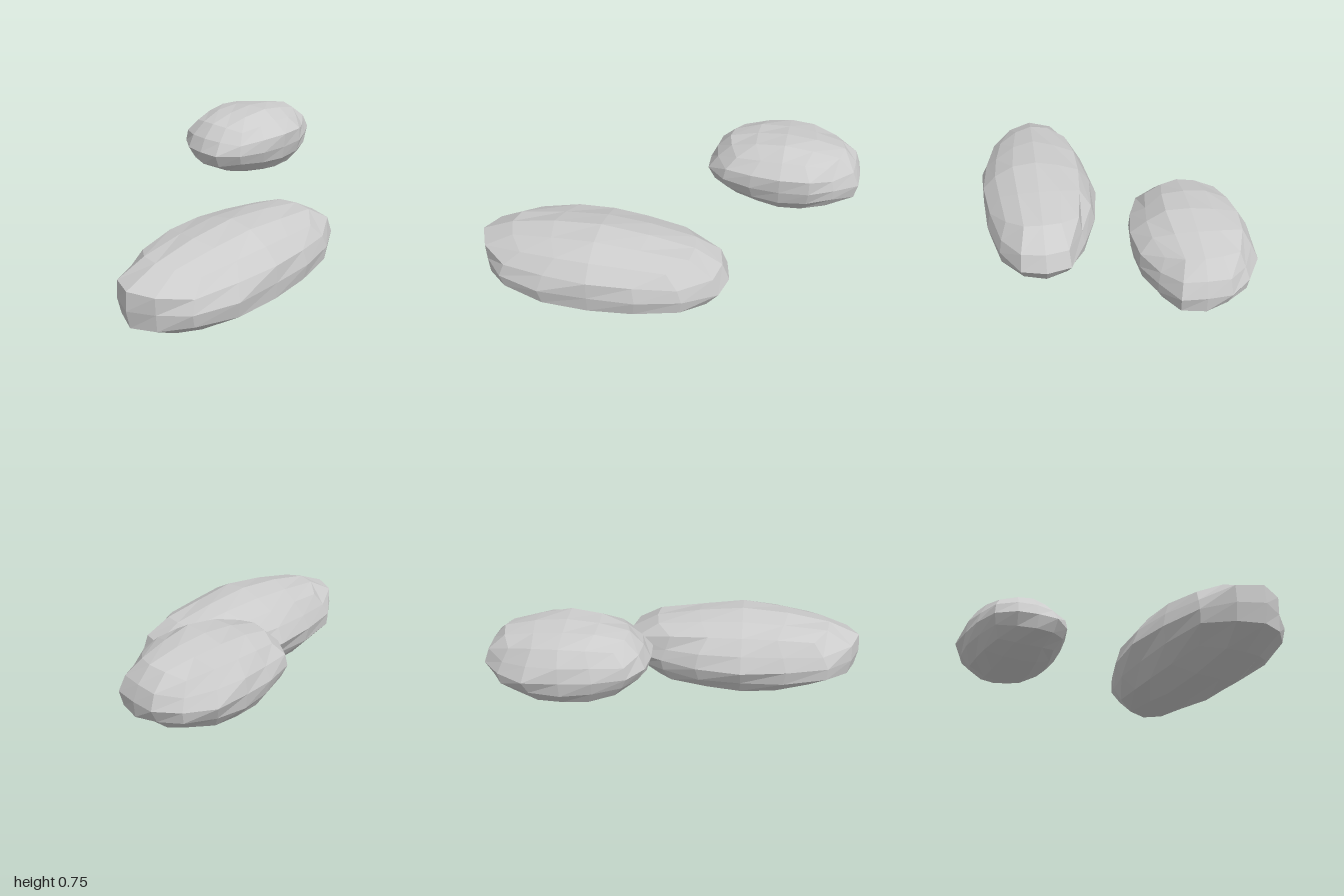
import * as THREE from 'three';

const material = new THREE.MeshStandardMaterial({ color: 0xcccccc, flatShading: true });

// Percent radius every 22.5 degrees round three cross-sections:
// xy (from +x to +y), xz (from +x to +z) and zy (from +z to +y)
const LARGE = {
  xy: [100, 102, 103, 97, 100, 99, 103, 107, 100, 105, 103, 103, 97, 89, 105, 98],
  xz: [100, 103, 99, 95, 92, 101, 103, 97, 100, 100, 102, 98, 101, 98, 95, 103],
  zy: [92, 98, 98, 101, 100, 96, 101, 97, 101, 94, 101, 104, 97, 92, 88, 97],
};
const SMALL = {
  xy: [101, 101, 109, 102, 102, 102, 107, 100, 101, 103, 96, 98, 95, 109, 107, 108],
  xz: [101, 108, 98, 100, 98, 101, 107, 108, 101, 105, 110, 103, 100, 112, 108, 107],
  zy: [98, 108, 103, 109, 101, 101, 113, 105, 102, 105, 108, 110, 95, 103, 103, 100],
};

// Cross-section radius at an angle
function ringRadius(ring, a, b) {
  const t = ((Math.atan2(b, a) / (Math.PI / 8)) + 16) % 16;
  const i = Math.floor(t);
  return THREE.MathUtils.lerp(ring[i % 16], ring[(i + 1) % 16], t - i) / 100;
}

// Blend the three cross-sections, the nearest plane counting most
function radiusAt(d, rings) {
  const parts = [
    [ringRadius(rings.xy, d.x, d.y), d.z],
    [ringRadius(rings.xz, d.x, d.z), d.y],
    [ringRadius(rings.zy, d.z, d.y), d.x],
  ];
  let sum = 0, total = 0;
  for (const [r, distance] of parts) {
    const w = 1 / (distance * distance + 1e-5);
    sum += r * w;
    total += w;
  }
  return sum / total;
}

// Repeatable roughness from a vertex's grid position, -1 to 1
function roughness(i, j, k, seed) {
  const s = Math.sin(i * 12.99 + j * 78.23 + k * 37.72 + seed * 4.13) * 43758.55;
  return 2 * (s - Math.floor(s)) - 1;
}

// A rounded cube grid, pressed into a lumpy ellipsoid with flat facets
function makeRock(name, center, radii, rings, seed) {
  const box = new THREE.BoxGeometry(4, 4, 4, 4, 4, 4);
  const pos = box.attributes.position;
  const d = new THREE.Vector3();
  const bend = (v) => Math.tan((v * Math.PI) / 8);
  for (let n = 0; n < pos.count; n++) {
    const [i, j, k] = [pos.getX(n), pos.getY(n), pos.getZ(n)].map((v) => Math.round(v));
    d.set(bend(i), bend(j), bend(k)).normalize();
    let r = radiusAt(d, rings);
    if (i && j && k) r += 0.035 * roughness(i, j, k, seed);
    d.multiplyScalar(r);
    pos.setXYZ(n, d.x * radii[0], d.y * radii[1], d.z * radii[2]);
  }
  const geometry = box.toNonIndexed();
  geometry.computeVertexNormals();
  const mesh = new THREE.Mesh(geometry, material);
  mesh.name = name;
  mesh.position.set(...center);
  return mesh;
}

export function createModel() {
  const group = new THREE.Group();
  group.name = 'rocks';
  group.add(
    makeRock('largeRock', [-0.305, 0.245, 0.34], [0.695, 0.247, 0.345], LARGE, 1),
    makeRock('smallRock', [0.575, 0.55, -0.36], [0.42, 0.2, 0.295], SMALL, 2),
  );
  return group;
}
